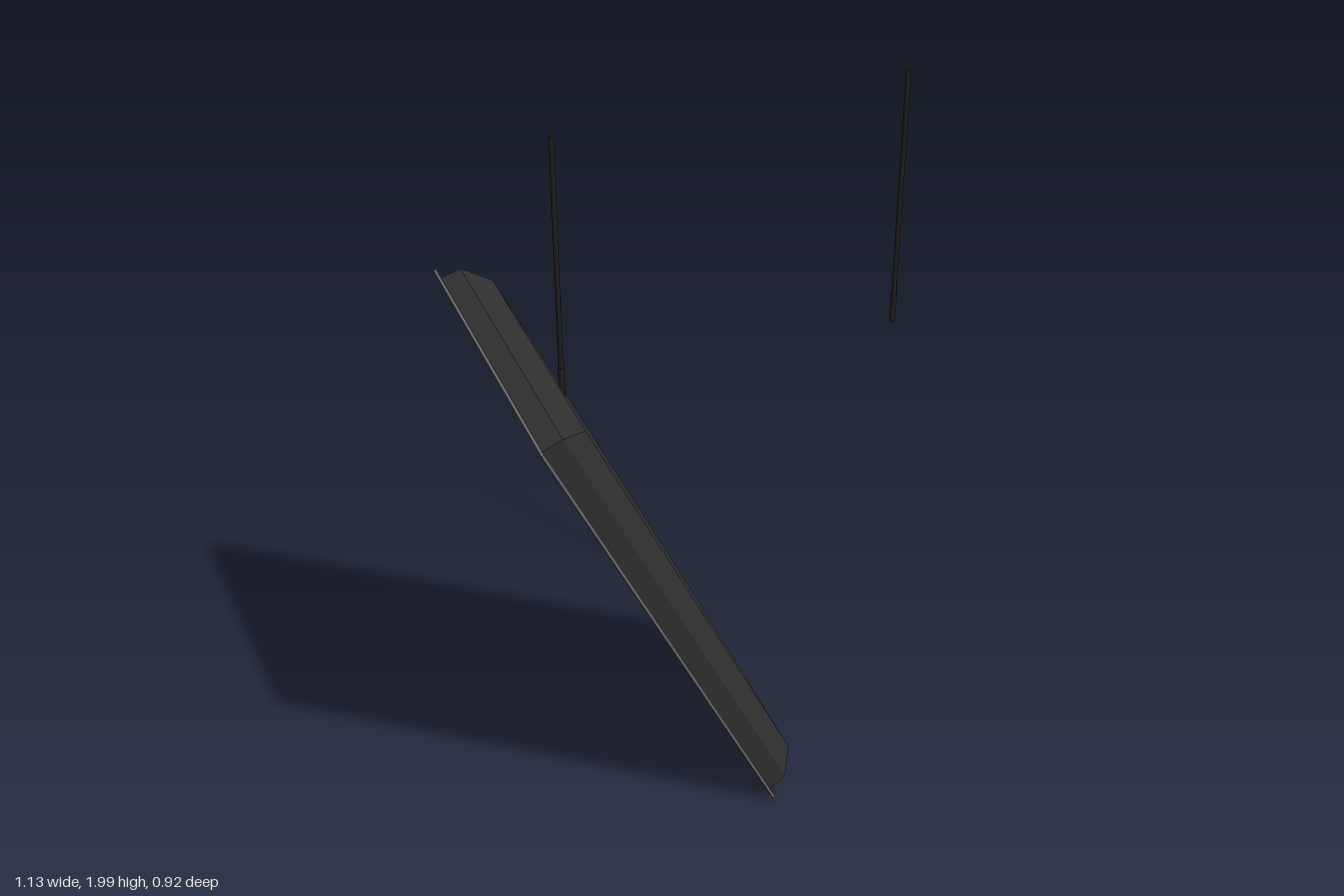
import * as THREE from 'three';

const mat = (name, color, side = THREE.FrontSide) => {
  const m = new THREE.MeshStandardMaterial({ color, side });
  m.name = name;
  return m;
};

// Flat-faced sheet from quads given as four corner points each
function quads(list) {
  const pos = [];
  for (const [a, b, c, d] of list) pos.push(...a, ...b, ...c, ...a, ...c, ...d);
  const g = new THREE.BufferGeometry();
  g.setAttribute('position', new THREE.Float32BufferAttribute(pos, 3));
  g.computeVertexNormals();
  return g;
}

const rect = (w, l, y) => [[-w, y, -l], [-w, y, l], [w, y, l], [w, y, -l]];

// Rectangular frame lying flat, from height y0 to y1
function frame(w, l, iw, il, y0, y1) {
  const trace = (path, a, b) => path.moveTo(-a, -b).lineTo(a, -b).lineTo(a, b).lineTo(-a, b).closePath();
  const shape = trace(new THREE.Shape(), w, l);
  shape.holes.push(trace(new THREE.Path(), iw, il));
  const g = new THREE.ExtrudeGeometry(shape, { depth: y1 - y0, bevelEnabled: false });
  return g.rotateX(-Math.PI / 2).translate(0, y0, 0);
}

export function createModel() {
  const dark = mat('housing charcoal', 0x303030, THREE.DoubleSide);
  const grey = mat('reflector grey', 0x767676, THREE.DoubleSide);
  const tubeGrey = mat('tube grey', 0x8c8c8c);
  const black = mat('fitting black', 0x1e1e1e);

  const model = new THREE.Group();
  model.name = 'hangingLight';
  const add = (parent, name, geometry, material, x = 0, y = 0, z = 0) => {
    const m = new THREE.Mesh(geometry, material);
    m.name = name;
    m.position.set(x, y, z);
    parent.add(m);
    return m;
  };

  // Tilted lamp: local x = width, y = towards the back panel, z = length
  const lamp = new THREE.Group();
  lamp.name = 'lamp';
  const across = new THREE.Vector3(0, -0.088, 0.996).normalize();
  const along = new THREE.Vector3(-0.4254, 0.9016, 0.0794).normalize();
  const out = new THREE.Vector3().crossVectors(along, across).normalize();
  along.crossVectors(across, out);
  lamp.quaternion.setFromRotationMatrix(new THREE.Matrix4().makeBasis(across, out, along));
  lamp.position.set(-0.23, 0.755, 0);
  model.add(lamp);

  // Housing: straight wall, chamfer and back panel
  const loops = [rect(0.374, 0.776, 0.004), rect(0.37, 0.77, 0.063), rect(0.328, 0.717, 0.116)];
  const faces = [loops[2]];
  for (let i = 0; i < 2; i++) {
    for (let k = 0; k < 4; k++) {
      const n = (k + 1) % 4;
      faces.push([loops[i][k], loops[i][n], loops[i + 1][n], loops[i + 1][k]]);
    }
  }
  add(lamp, 'housing', quads(faces), dark);

  // Rim: dark face below, grey ledge above
  add(lamp, 'rimFace', frame(0.399, 0.7875, 0.357, 0.745, 0, 0.004), dark);
  add(lamp, 'rimLedge', frame(0.399, 0.7875, 0.364, 0.752, 0.004, 0.009), grey);

  // Folded reflector with a central ridge
  const fold = [[-0.36, 0.01], [-0.25, 0.1], [-0.11, 0.1], [0, 0.05], [0.11, 0.1], [0.25, 0.1], [0.36, 0.01]];
  const sheet = [];
  for (let i = 0; i < fold.length - 1; i++) {
    const [a, b] = [fold[i], fold[i + 1]];
    sheet.push([[...a, -0.715], [...a, 0.715], [...b, 0.715], [...b, -0.715]]);
  }
  add(lamp, 'reflector', quads(sheet), grey);

  // Two tubes, each held by a socket at both ends
  for (const x of [-0.17, 0.17]) {
    add(lamp, 'tube', new THREE.CylinderGeometry(0.022, 0.022, 1.34, 16).rotateX(Math.PI / 2), tubeGrey, x, 0.062, 0);
    for (const s of [-1, 1]) {
      add(lamp, 'tubeSocket', new THREE.BoxGeometry(0.06, 0.07, 0.035), black, x, 0.065, s * 0.675);
    }
  }

  // Hanging rods with slightly thicker lower ends
  for (const x of [-0.365, 0.555]) {
    add(model, 'rod', new THREE.CylinderGeometry(0.0065, 0.0065, 0.7, 10), black, x, 1.65, 0.045);
    add(model, 'rodEnd', new THREE.CylinderGeometry(0.008, 0.008, 0.08, 10), black, x, 1.34, 0.045);
  }
  return model;
}
